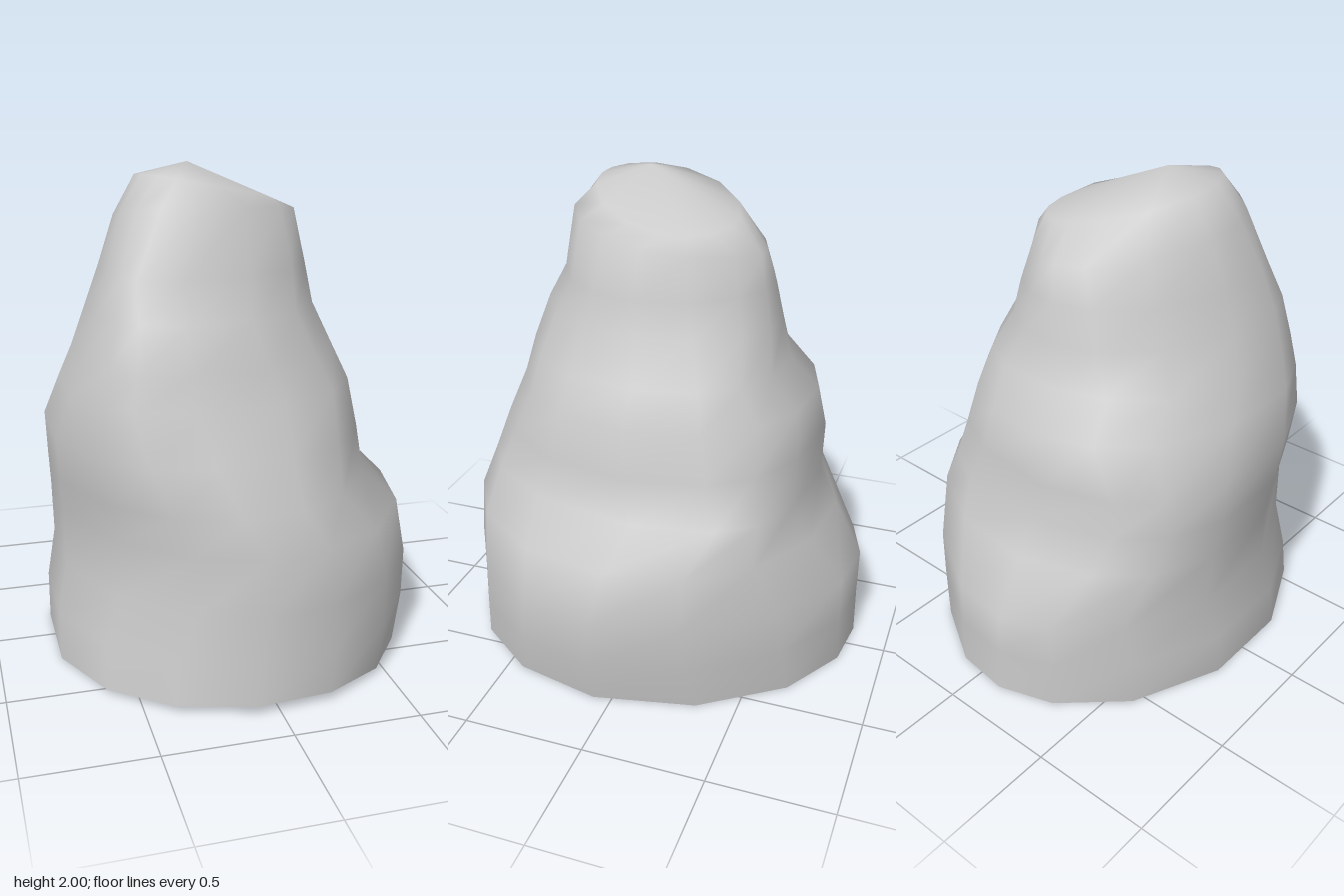
import * as THREE from 'three';

const SIDES = 15;

// Each ring: mean height, slope along x, slope along z, then how far the outline
// reaches in eight directions, turning from +x through +z, -x and -z.
const RINGS = [
  [0.00, 0, 0, 0.70, 0.80, 0.84, 0.825, 0.77, 0.81, 0.85, 0.735],
  [0.20, 0, 0, 0.745, 0.805, 0.83, 0.80, 0.77, 0.81, 0.85, 0.74],
  [0.39, 0, 0, 0.76, 0.80, 0.83, 0.76, 0.73, 0.81, 0.85, 0.74],
  [0.62, 0, 0, 0.72, 0.775, 0.825, 0.76, 0.73, 0.775, 0.72, 0.72],
  [0.77, 0, 0, 0.56, 0.68, 0.78, 0.79, 0.735, 0.75, 0.635, 0.675],
  [0.95, 0, 0, 0.53, 0.63, 0.72, 0.81, 0.74, 0.77, 0.63, 0.615],
  [1.14, 0, 0, 0.49, 0.57, 0.64, 0.785, 0.685, 0.675, 0.61, 0.555],
  [1.28, 0, 0, 0.425, 0.51, 0.61, 0.75, 0.64, 0.57, 0.50, 0.49],
  [1.45, 0, 0, 0.345, 0.425, 0.56, 0.70, 0.59, 0.50, 0.465, 0.395],
  [1.60, 0, 0, 0.315, 0.375, 0.47, 0.63, 0.535, 0.45, 0.435, 0.355],
  [1.79, 0, 0.15, 0.275, 0.32, 0.425, 0.52, 0.47, 0.39, 0.405, 0.305],
  [1.875, -0.19, 0.08, 0.21, 0.21, 0.36, 0.43, 0.38, 0.30, 0.29, 0.25],
];
const PEAK = [-0.18, 2, 0.13];

// Smooth outline touching the eight reaches: a short Fourier series and its slope
function outline([y, slopeX, slopeZ, ...reach]) {
  const points = [];
  for (let i = 0; i < SIDES; i++) {
    const t = (i / SIDES) * Math.PI * 2;
    let h = 0, dh = 0;
    reach.forEach((r, j) => {
      const d = t - (j * Math.PI) / 4;
      h += r / 8;
      [1, 1, 0.8, 0.25].forEach((weight, n) => {
        const k = n + 1;
        h += (r / 4) * weight * Math.cos(k * d);
        dh -= (r / 4) * weight * k * Math.sin(k * d);
      });
    });
    const x = h * Math.cos(t) - dh * Math.sin(t);
    const z = h * Math.sin(t) + dh * Math.cos(t);
    points.push([x, y + slopeX * x + slopeZ * z, z]);
  }
  return points;
}

function makeGeometry(points, index) {
  const geometry = new THREE.BufferGeometry();
  geometry.setAttribute('position', new THREE.Float32BufferAttribute(points.flat(), 3));
  geometry.setIndex(index);
  geometry.computeVertexNormals();
  return geometry;
}

export function createModel() {
  const group = new THREE.Group();
  group.name = 'rock';
  const material = new THREE.MeshStandardMaterial({ color: 0xcccccc });
  const add = (name, geometry) => {
    const mesh = new THREE.Mesh(geometry, material);
    mesh.name = name;
    group.add(mesh);
  };

  const rings = RINGS.map(outline);
  // The front of the foot lifts slightly off the ground
  rings[0].forEach((p) => { p[1] = 0.05 * Math.max(0, p[2]) ** 2; });

  // Weathered body, closed by a sloping crown
  const index = [];
  const top = rings.length - 1;
  for (let r = 0; r <= top; r++) {
    for (let i = 0; i < SIDES; i++) {
      const next = (i + 1) % SIDES;
      const a = r * SIDES + i, b = r * SIDES + next;
      if (r === top) index.push(a, rings.length * SIDES, b);
      else index.push(a, a + SIDES, b, b, a + SIDES, b + SIDES);
    }
  }
  add('rockBody', makeGeometry([...rings.flat(), PEAK], index));

  // Underside with its own normals, so the bottom edge stays sharp
  const under = [];
  for (let i = 0; i < SIDES; i++) under.push(SIDES, i, (i + 1) % SIDES);
  add('underside', makeGeometry([...rings[0], [0, 0.01, 0]], under));

  return group;
}
